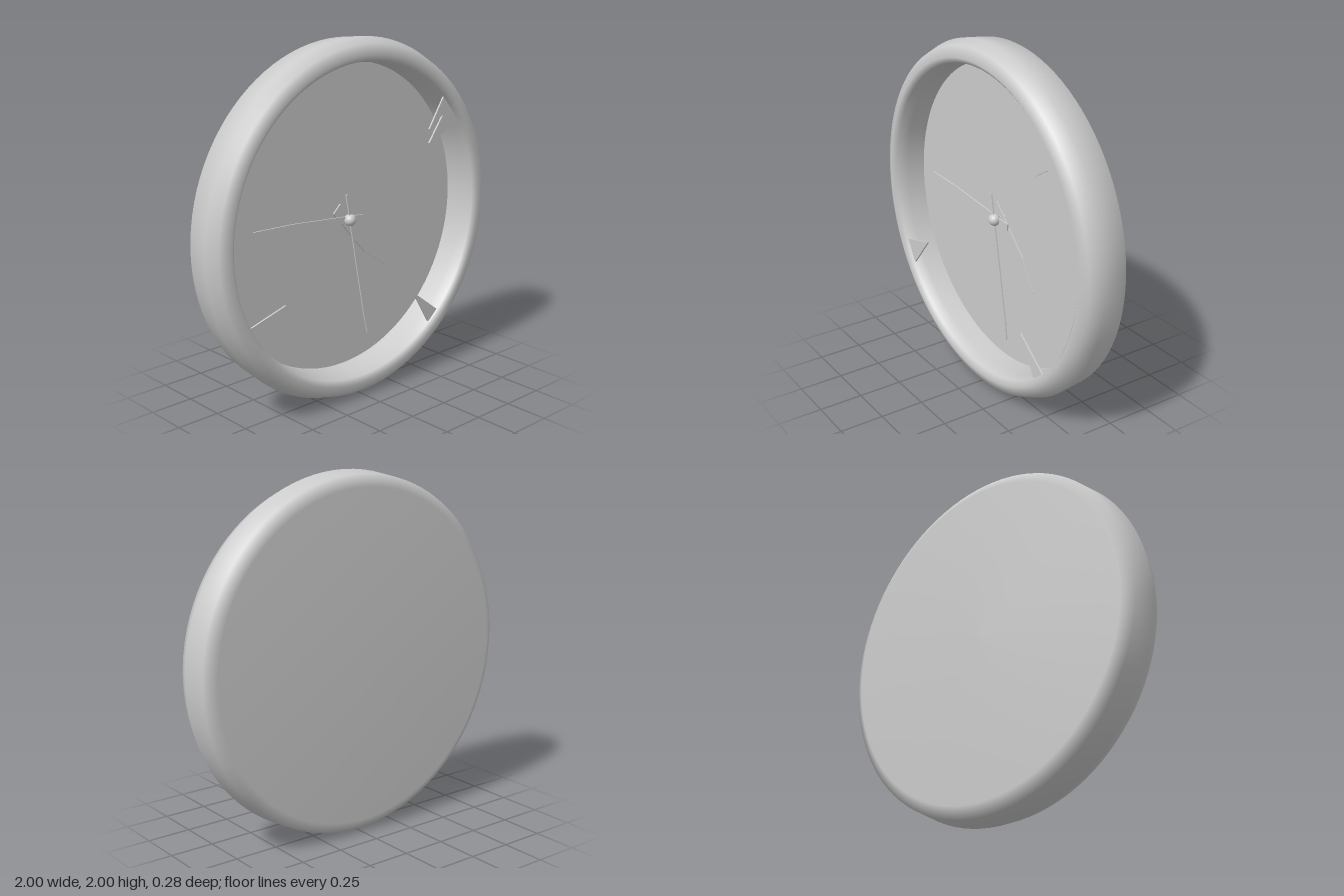
import * as THREE from 'three';

export function createModel() {
  const clock = new THREE.Group();
  clock.name = 'wallClock';
  const grey = new THREE.MeshStandardMaterial({ color: 0xcccccc });
  grey.name = 'grey';

  const add = (name, geometry, x = 0, y = 1, z = 0) => {
    const mesh = new THREE.Mesh(geometry, grey);
    mesh.name = name;
    mesh.position.set(x, y, z);
    clock.add(mesh);
    return mesh;
  };

  // Flat plate cut from an outline, given relative to the dial centre
  const plate = (points, depth) => new THREE.ExtrudeGeometry(
    new THREE.Shape(points.map(([x, y]) => new THREE.Vector2(x, y))),
    { depth, bevelEnabled: false });

  // Case: back plate, rounded rim and inner wall as one turned profile (radius, z)
  const profile = [
    [0, -0.14], [0.92, -0.14], [0.985, -0.1], [1, 0.04], [0.97, 0.115],
    [0.91, 0.14], [0.88, 0.115], [0.866, 0.05], [0.863, -0.07],
  ].map(([r, z]) => new THREE.Vector2(r, z));
  add('case', new THREE.LatheGeometry(profile, 96).rotateX(Math.PI / 2));

  // Recessed dial
  add('dial', new THREE.CircleGeometry(0.87, 96), 0, 1, -0.06);

  // Hands: half outlines as (distance along the hand, half width), mirrored
  const hands = [
    ['hourHand', 0.31, -0.33, -0.04, [[-0.09, 0.035], [0.26, 0.045], [0.452, 0.001]]],
    ['minuteHand', -0.66, 0.06, -0.012, [[-0.11, 0.02], [0.4, 0.016], [0.663, 0.001]]],
    ['secondHand', 0.13, -0.69, 0.005, [[-0.15, 0.008], [0.6, 0.008], [0.705, 0.001]]],
  ];
  for (const [name, dx, dy, z, half] of hands) {
    const lower = half.map(([l, w]) => [l, -w]);
    const upper = [...half].reverse();
    const hand = add(name, plate([...lower, ...upper], 0.008), 0, 1, z);
    hand.rotation.z = Math.atan2(dy, dx);
  }

  // Hub cap
  add('hub', new THREE.SphereGeometry(0.034, 24, 16), 0, 1, 0.005);
  add('spindle', new THREE.CylinderGeometry(0.015, 0.015, 0.07, 16).rotateX(Math.PI / 2), 0, 1, -0.03);

  // Pointed shards held in the front of the rim
  const shards = [
    ['leftShard', [[-0.78, -0.395], [-0.71, -0.525], [-0.55, -0.33]]],
    ['rightShard', [[0.4, -0.49], [0.53, -0.705], [0.605, -0.645]]],
    ['upperShard', [[0.51, 0.45], [0.62, 0.52], [0.51, 0.37], [0.75, 0.47], [0.62, 0.62]]],
  ];
  for (const [name, points] of shards) add(name, plate(points, 0.01), 0, 1, 0.1);

  return clock;
}
